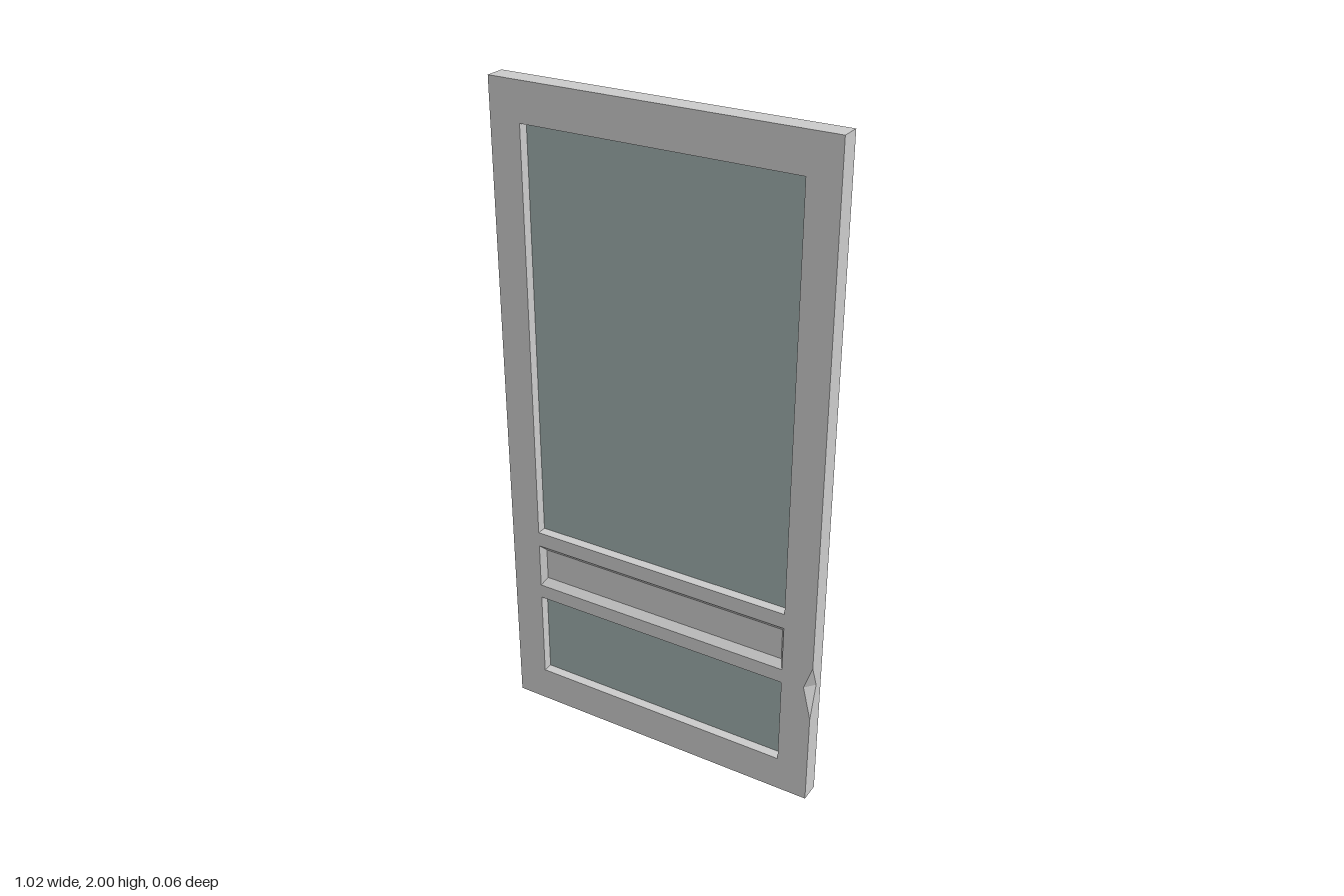
import * as THREE from 'three';
import { mergeGeometries } from 'three/addons/utils/BufferGeometryUtils.js';

const W = 0.51, H = 2, D = 0.03;   // half width, height, half depth
const HOLE = 0.415;                // half width of the openings
const openings = { lowerGlass: [0.11, 0.39], rail: [0.435, 0.578], upperGlass: [0.625, 1.885] };

// Flat faces from corner loops, each fanned from its first corner
function faces(polys) {
  const p = [];
  for (const c of polys)
    for (let i = 1; i < c.length - 1; i++) p.push(...c[0], ...c[i], ...c[i + 1]);
  const g = new THREE.BufferGeometry();
  g.setAttribute('position', new THREE.Float32BufferAttribute(p, 3));
  g.computeVertexNormals();
  return g;
}

const rect = (x, y0, y1, z) => [[-x, y0, z], [x, y0, z], [x, y1, z], [-x, y1, z]];

// Four inner walls of an opening, running from the surface z0 down to z1
function rim([y0, y1], z0, z1, insetX = 0, insetY = 0) {
  const o = rect(HOLE, y0, y1, z0);
  const n = rect(HOLE - insetX, y0 + insetY, y1 - insetY, z1);
  return o.map((c, i) => {
    const j = (i + 1) % 4;
    const q = [c, o[j], n[j], n[i]];
    return z0 > 0 ? q : q.reverse();
  });
}

// Pierced front or back face of the frame
function faceSheet(outline, z) {
  const s = new THREE.Shape(outline.map(([x, y]) => new THREE.Vector2(x, y)));
  for (const [y0, y1] of Object.values(openings))
    s.holes.push(new THREE.Path(rect(HOLE, y0, y1, 0).map(([x, y]) => new THREE.Vector2(x, y))));
  const g = new THREE.ShapeGeometry(s).toNonIndexed();
  g.deleteAttribute('uv');
  if (z < 0) g.rotateY(Math.PI);   // outline is symmetric on the back
  return g.translate(0, 0, z);
}

export function createModel() {
  const group = new THREE.Group();
  const frameMat = new THREE.MeshStandardMaterial({ color: 0xcacaca });
  frameMat.name = 'frameGrey';
  const glassMat = new THREE.MeshStandardMaterial({ color: 0x9cabaa, side: THREE.DoubleSide });
  glassMat.name = 'glassGreen';

  const add = (name, geo, mat) => {
    const m = new THREE.Mesh(geo, mat);
    m.name = name;
    group.add(m);
  };

  // Frame with a finger notch cut from its front left edge
  const T = [W, 0.475, D], B = [W, 0.295, D], F = [W - 0.025, 0.4, D], S = [W, 0.4, 0];
  const back = rect(W, 0, H, -D), front = rect(W, 0, H, D);
  const glassRows = [openings.lowerGlass, openings.upperGlass];
  const walls = faces([
    [S, B, front[1], back[1], back[2], front[2], T],
    [back[0], front[0], front[3], back[3]],
    [front[3], front[2], back[2], back[3]],
    [back[0], back[1], front[1], front[0]],
    ...glassRows.flatMap(r => [...rim(r, D, 0), ...rim(r, -D, 0)]),
  ]);
  add('frame', mergeGeometries([
    faceSheet([front[0], front[1], B, F, T, front[2], front[3]], D),
    faceSheet(back, -D),
    walls,
  ]), frameMat);
  add('fingerNotch', faces([[T, F, S], [B, S, F]]), frameMat);

  // Recessed rail panel with sloping borders
  const [r0, r1] = openings.rail, z = 0.01;
  add('railPanel', faces([
    ...rim(openings.rail, D, z, 0.013, 0.021),
    ...rim(openings.rail, -D, -z, 0.03, 0.021),
    rect(HOLE - 0.013, r0 + 0.021, r1 - 0.021, z),
    rect(HOLE - 0.03, r0 + 0.021, r1 - 0.021, -z).reverse(),
  ]), frameMat);

  // Glass panes
  for (const name of ['lowerGlass', 'upperGlass']) {
    const [y0, y1] = openings[name];
    add(name, new THREE.PlaneGeometry(HOLE * 2, y1 - y0).translate(0, (y0 + y1) / 2, 0), glassMat);
  }
  return group;
}
